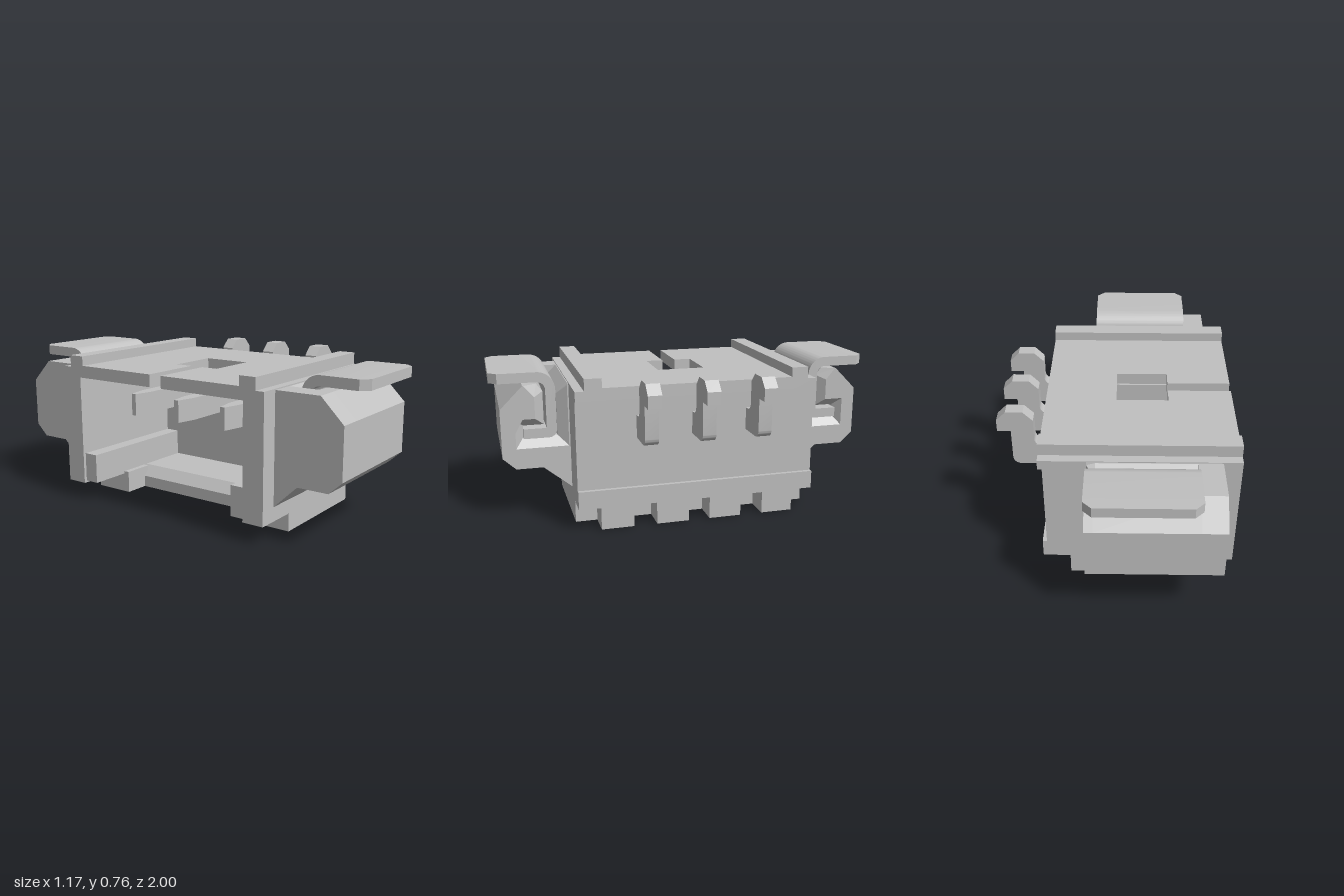
import * as THREE from 'three';
import { toCreasedNormals } from 'three/addons/utils/BufferGeometryUtils.js';

const grey = new THREE.MeshStandardMaterial({ color: 0xc0c0c0 });
grey.name = 'grey';

const toShape = (pts) => new THREE.Shape(pts.map(([a, b]) => new THREE.Vector2(a, b)));
const extrude = (pts, depth) =>
  new THREE.ExtrudeGeometry(toShape(pts), { depth, bevelEnabled: false });

// Profile in (z, y), swept along x
const alongX = (pts, x0, x1) =>
  extrude(pts, x1 - x0).rotateY(-Math.PI / 2).translate(x1, 0, 0);
// Profile in (x, y), swept along z
const alongZ = (pts, z0, z1) => extrude(pts, z1 - z0).translate(0, 0, z0);
// Profile in (x, z), swept along y
const alongY = (pts, y0, y1) =>
  extrude(pts, y1 - y0).rotateX(Math.PI / 2).translate(0, y1, 0);
const box = (x0, x1, y0, y1, z0, z1) =>
  new THREE.BoxGeometry(x1 - x0, y1 - y0, z1 - z0)
    .translate((x0 + x1) / 2, (y0 + y1) / 2, (z0 + z1) / 2);

// Side wing: outer outline, then the slot at its inner face and at its flared mouth
const wingOuter = [[0.615, 0.16], [0.735, 0.275], [0.89, 0.275], [0.955, 0.335],
  [0.955, 0.585], [0.84, 0.7]];
const slotInner = [[0.77, 0.7], [0.74, 0.66], [0.74, 0.49], [0.845, 0.49],
  [0.845, 0.43], [0.675, 0.43], [0.675, 0.645], [0.62, 0.7], [0.615, 0.7]];
const slotMouth = [[0.835, 0.7], [0.785, 0.64], [0.785, 0.53], [0.885, 0.53],
  [0.885, 0.38], [0.622, 0.38], [0.622, 0.69], [0.619, 0.7], [0.615, 0.7]];

// Bent metal clip profile
function clipProfile() {
  const s = new THREE.Shape();
  s.moveTo(0.95, 0.765);
  s.lineTo(0.77, 0.765);
  s.absarc(0.77, 0.675, 0.09, Math.PI / 2, Math.PI, false);
  s.lineTo(0.68, 0.47);
  s.absarc(0.72, 0.47, 0.04, Math.PI, Math.PI * 1.5, false);
  s.lineTo(0.845, 0.43);
  s.lineTo(0.845, 0.48);
  s.lineTo(0.73, 0.48);
  s.absarc(0.77, 0.675, 0.04, Math.PI, Math.PI / 2, true);
  s.lineTo(0.95, 0.715);
  return s.getPoints(10).map((p) => [p.x, p.y]);
}

// Pin outline with rounded elbows and a chamfered hook
function pinProfile() {
  const s = new THREE.Shape();
  s.moveTo(-0.33, 0.457);
  s.lineTo(0.475, 0.457);
  s.absarc(0.475, 0.497, 0.04, -Math.PI / 2, 0, false);
  s.lineTo(0.515, 0.655);
  s.lineTo(0.582, 0.655);
  s.lineTo(0.582, 0.718);
  s.lineTo(0.535, 0.765);
  s.lineTo(0.45, 0.765);
  s.lineTo(0.403, 0.718);
  s.lineTo(0.403, 0.61);
  s.absarc(0.363, 0.61, 0.04, 0, -Math.PI / 2, true);
  s.lineTo(-0.33, 0.57);
  return s.getPoints(8).map((p) => [p.x, p.y]);
}

export function createModel() {
  const model = new THREE.Group();
  model.name = 'connector';
  const add = (name, geometry) => {
    const mesh = new THREE.Mesh(geometry, grey);
    mesh.name = name;
    model.add(mesh);
  };

  // Top plate with slot and window
  add('topPlate', alongY([[-0.585, -0.505], [0.356, -0.505], [0.356, 0.505], [-0.585, 0.505],
    [-0.585, 0.035], [-0.262, 0.035], [-0.262, 0.125], [0, 0.125], [0, -0.125],
    [-0.262, -0.125], [-0.262, -0.035], [-0.585, -0.035]], 0.655, 0.717));

  // Pin wall, lower lip and floor
  add('pinWall', box(0.1, 0.335, 0.113, 0.655, -0.505, 0.505));
  add('lowerLip', box(0.222, 0.356, 0.113, 0.205, -0.505, 0.505));
  add('floor', alongZ([[-0.23, 0], [0.222, 0], [0.222, 0.113], [-0.18, 0.113], [-0.23, 0.06]],
    -0.505, 0.505));

  const wall = [[-0.585, 0.09], [-0.36, 0.09], [-0.36, 0], [0.222, 0], [0.222, 0.113],
    [0.356, 0.113], [0.356, 0.205], [0.335, 0.205], [0.335, 0.655], [0.356, 0.655],
    [0.356, 0.705], [-0.585, 0.705]];

  for (const s of [1, -1]) {
    const side = (pts) => pts.map(([z, y]) => [s * z, y]);
    const sideBox = (x0, x1, y0, y1, z0, z1) =>
      box(x0, x1, y0, y1, Math.min(s * z0, s * z1), Math.max(s * z0, s * z1));

    // Side wall, top ridge, inner rail and front foot
    add('sideWall', alongZ(wall, s > 0 ? 0.505 : -0.615, s > 0 ? 0.615 : -0.505));
    add('topRidge', sideBox(-0.585, 0.356, 0.69, 0.765, 0.485, 0.57));
    add('innerRail', sideBox(-0.57, 0.1, 0.1, 0.25, 0.43, 0.505));
    add('foot', sideBox(-0.36, -0.2, 0, 0.113, 0.4, 0.505));

    // Teeth along the lower edge
    for (const [z0, z1] of [[0.055, 0.222], [0.34, 0.505]]) {
      add('tooth', sideBox(0.222, 0.356, 0, 0.113, z0, z1));
    }

    // Wing: closed end, slotted middle and flared mouth
    const narrow = side([...wingOuter, ...slotInner]);
    const wide = side([...wingOuter, ...slotMouth]);
    add('wingEnd', alongX(side([...wingOuter, [0.615, 0.7]]), -0.495, -0.38));
    add('wing', alongX(narrow, -0.38, 0.09));
    const mouth = alongX(narrow, 0.09, 0.13);
    const p = mouth.attributes.position;
    for (let i = 0; i < p.count; i++) {
      if (p.getX(i) < 0.11) continue;
      const k = narrow.findIndex(([z, y]) =>
        Math.abs(z - p.getZ(i)) + Math.abs(y - p.getY(i)) < 1e-4);
      if (k >= 0) p.setXYZ(i, 0.13, wide[k][1], wide[k][0]);
    }
    mouth.computeVertexNormals();
    add('wingMouth', mouth);

    // Clip with chamfered solder tab
    add('clip', toCreasedNormals(alongX(side(clipProfile()), -0.38, 0.13), 0.6));
    add('clipTab', alongY([[-0.38, s * 0.95], [-0.38, s * 0.96], [-0.34, s], [0.09, s],
      [0.13, s * 0.96], [0.13, s * 0.95]], 0.715, 0.765));
  }

  // Three pins with tapered inner tips
  for (const z of [-0.282, 0, 0.282]) {
    add('pin', toCreasedNormals(alongZ(pinProfile(), z - 0.034, z + 0.034), 0.6));
    const tip = box(-0.43, -0.33, 0.457, 0.57, -0.034, 0.034);
    const p = tip.attributes.position;
    for (let i = 0; i < p.count; i++) {
      if (p.getX(i) < -0.4) p.setZ(i, p.getZ(i) * 0.38);
    }
    tip.computeVertexNormals();
    add('pinTip', tip.translate(0, 0, z));
  }

  return model;
}
